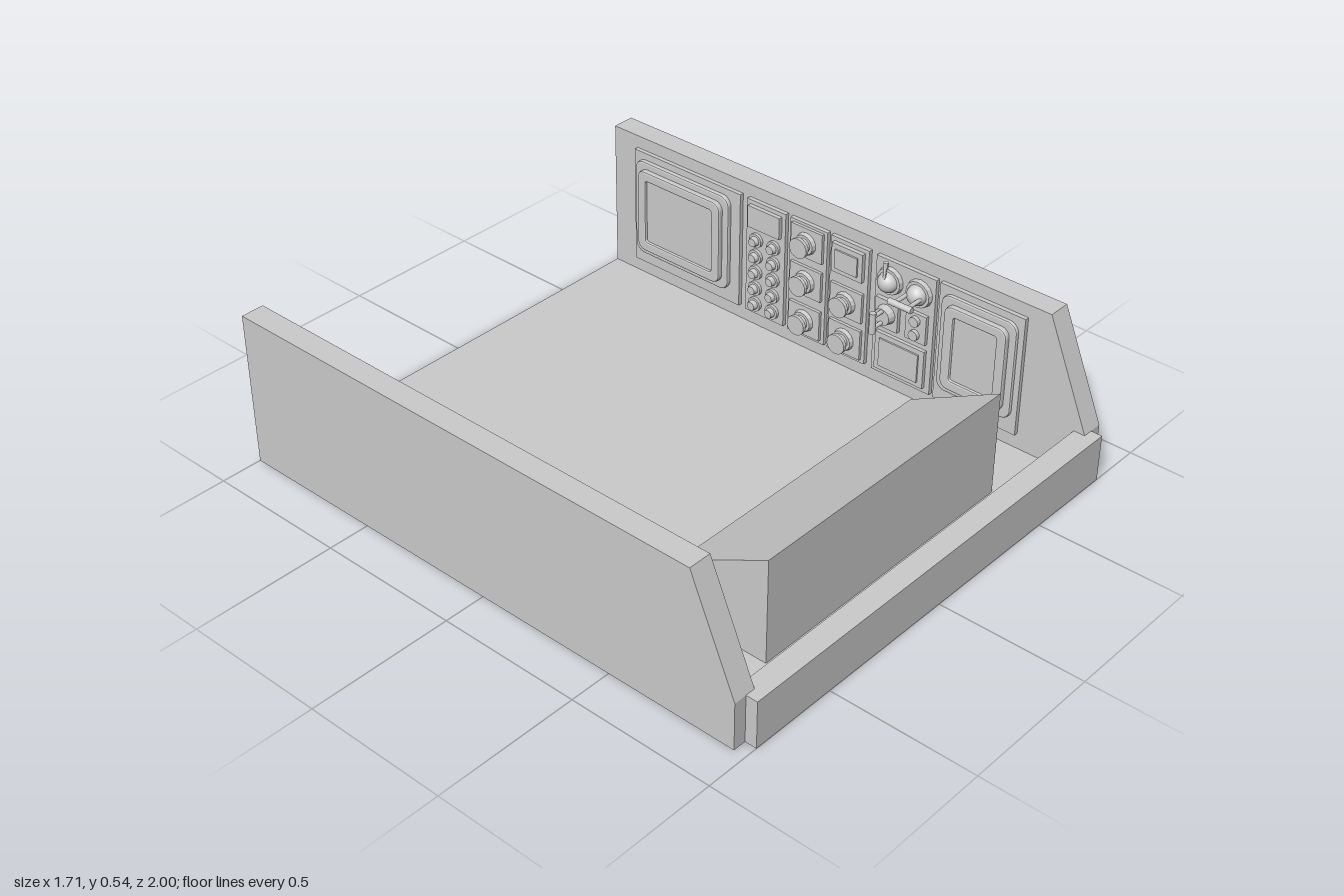
import * as THREE from 'three';

const grey = new THREE.MeshStandardMaterial({ color: 0xcccccc, flatShading: true });
const smooth = new THREE.MeshStandardMaterial({ color: 0xcccccc });

function add(parent, name, geo, x = 0, y = 0, z = 0, mat = grey) {
  const m = new THREE.Mesh(geo, mat);
  m.name = name;
  m.position.set(x, y, z);
  parent.add(m);
  return m;
}

// Box given by its minimum and maximum corners
function block(parent, name, x0, x1, y0, y1, z0, z1) {
  return add(parent, name, new THREE.BoxGeometry(x1 - x0, y1 - y0, z1 - z0),
    (x0 + x1) / 2, (y0 + y1) / 2, (z0 + z1) / 2);
}

// Solid with a side profile of [z, y] points, spanning x0..x1
function profileSolid(parent, name, pts, x0, x1) {
  const s = new THREE.Shape(pts.map(([z, y]) => new THREE.Vector2(-z, y)));
  const g = new THREE.ExtrudeGeometry(s, { depth: x1 - x0, bevelEnabled: false });
  g.rotateY(Math.PI / 2);
  return add(parent, name, g, x0, 0, 0);
}

function roundedRect(C, w, h, r) {
  const s = new C(), a = w / 2, b = h / 2;
  s.absarc(a - r, b - r, r, 0, Math.PI / 2);
  s.absarc(-a + r, b - r, r, Math.PI / 2, Math.PI);
  s.absarc(-a + r, -b + r, r, Math.PI, Math.PI * 1.5);
  s.absarc(a - r, -b + r, r, Math.PI * 1.5, Math.PI * 2);
  s.closePath();
  return s;
}

// Stepped monitor: rounded base, raised rim and recessed glass
function monitor(parent, u0, u1, y0, y1, z0) {
  const g = new THREE.Group();
  g.name = 'monitor';
  g.position.set((u0 + u1) / 2, (y0 + y1) / 2, z0);
  const w = u1 - u0, h = y1 - y0;
  const opts = { bevelEnabled: true, bevelSize: 0.006, bevelThickness: 0.006, bevelSegments: 2, curveSegments: 5 };
  add(g, 'monitorBase', new THREE.ExtrudeGeometry(
    roundedRect(THREE.Shape, w - 0.012, h - 0.012, 0.03), { ...opts, depth: 0.012 }));
  const rim = roundedRect(THREE.Shape, w - 0.062, h - 0.062, 0.025);
  rim.holes.push(roundedRect(THREE.Path, w - 0.11, h - 0.11, 0.015));
  add(g, 'monitorRim', new THREE.ExtrudeGeometry(rim, { ...opts, depth: 0.012 }), 0, 0, 0.018);
  add(g, 'monitorGlass', new THREE.BoxGeometry(w - 0.1, h - 0.1, 0.012), 0, 0, 0.02);
  parent.add(g);
}

// Cylinder pointing out of the wall
function peg(parent, name, u, y, z0, z1, r0, r1 = r0) {
  const g = new THREE.CylinderGeometry(r1, r0, z1 - z0, 14);
  g.rotateX(Math.PI / 2);
  return add(parent, name, g, u, y, (z0 + z1) / 2);
}

// Grip bar carried on two posts
function handle(parent, u, y, z0, z1, len, upright) {
  const g = new THREE.Group();
  g.name = 'handle';
  g.position.set(u, y, 0);
  if (upright) g.rotation.z = Math.PI / 2;
  const bar = new THREE.CylinderGeometry(0.011, 0.011, len, 12);
  bar.rotateZ(Math.PI / 2);
  add(g, 'gripBar', bar, 0, 0, z1 - 0.011);
  for (const s of [-1, 1]) peg(g, 'gripPost', s * len * 0.28, 0, z0, z1 - 0.01, 0.007);
  parent.add(g);
}

// Flanged drum knob on a backing plate
function drumKnob(parent, u, y) {
  block(parent, 'knobPlate', u - 0.065, u + 0.065, y - 0.055, y + 0.055, 0.01, 0.026);
  peg(parent, 'knobCollar', u, y, 0.02, 0.04, 0.042, 0.036);
  peg(parent, 'knobNeck', u, y, 0.035, 0.06, 0.026);
  peg(parent, 'knobCap', u, y, 0.058, 0.07, 0.036);
}

// Wall-mounted group: local x runs along the wall, local z points into the room
function wallGroup(parent, name, side) {
  const g = new THREE.Group();
  g.name = name;
  g.position.x = side * 0.775;
  g.rotation.y = -side * Math.PI / 2;
  parent.add(g);
  return g;
}

export function createModel() {
  const root = new THREE.Group();
  root.name = 'cabinShell';

  // Floor, side walls and front sill
  block(root, 'floor', -0.81, 0.81, 0, 0.005, -1, 0.97);
  const wall = [[-1, 0], [0.96, 0], [0.96, 0.165], [0.8, 0.535], [-1, 0.535]];
  profileSolid(root, 'leftWall', wall, 0.775, 0.855);
  profileSolid(root, 'rightWall', wall, -0.855, -0.775);
  block(root, 'frontSill', -0.81, 0.81, 0, 0.165, 0.92, 1);

  // Sloping console
  profileSolid(root, 'console', [[0.475, 0.003], [0.8, 0.003], [0.8, 0.37], [0.475, 0.2]], -0.535, 0.535);

  // Right wall: two flat panels and one monitor
  const right = wallGroup(root, 'rightWallPanels', -1);
  block(right, 'rearPanel', -0.08, 0.88, 0.06, 0.49, -0.005, 0.016);
  block(right, 'frontPanel', -0.75, -0.125, 0.06, 0.49, -0.005, 0.016);
  monitor(right, 0, 0.41, 0.115, 0.455, 0.018);

  // Left wall: backing panels and monitors
  const left = wallGroup(root, 'leftWallInstruments', 1);
  for (const [u0, u1] of [[-0.895, -0.42], [-0.39, -0.225], [-0.205, -0.05], [-0.035, 0.12], [0.15, 0.385], [0.4, 0.72]])
    block(left, 'backingPanel', u0, u1, 0.06, 0.49, -0.005, 0.015);
  monitor(left, -0.88, -0.46, 0.105, 0.465, 0.012);
  monitor(left, 0.415, 0.7, 0.11, 0.465, 0.009);

  // Switch column
  block(left, 'switchDisplay', -0.375, -0.24, 0.395, 0.475, 0.01, 0.03);
  for (let row = 0; row < 5; row++) {
    for (const u of [-0.345, -0.27]) {
      const y = 0.1 + row * 0.062;
      peg(left, 'buttonBase', u, y, 0.012, 0.026, 0.026);
      peg(left, 'button', u, y, 0.024, 0.042, 0.018, 0.015);
    }
  }

  // Drum knob columns
  for (const y of [0.13, 0.28, 0.425]) drumKnob(left, -0.128, y);
  for (const y of [0.13, 0.27]) drumKnob(left, 0.042, y);
  block(left, 'gaugeFrame', -0.02, 0.105, 0.37, 0.475, 0.01, 0.03);
  block(left, 'gaugeFace', -0.003, 0.088, 0.388, 0.457, 0.025, 0.036);

  // Lever cluster with domes, T-handles and a toggle
  for (const u of [0.21, 0.325]) {
    peg(left, 'leverCollar', u, 0.42, 0.012, 0.03, 0.05, 0.046);
    const dome = new THREE.SphereGeometry(0.036, 16, 8, 0, Math.PI * 2, 0, Math.PI / 2);
    dome.rotateX(Math.PI / 2);
    add(left, 'leverDome', dome, u, 0.42, 0.028, smooth);
  }
  handle(left, 0.325, 0.42, 0.04, 0.127, 0.09, false);
  const toggle = add(left, 'toggle', new THREE.CylinderGeometry(0.006, 0.005, 0.07, 10), 0.21, 0.46, 0.05);
  toggle.rotation.x = -0.12;
  add(left, 'toggleTip', new THREE.CylinderGeometry(0.009, 0.009, 0.02, 10), 0.21, 0.49, 0.046);
  block(left, 'handlePlate', 0.165, 0.255, 0.245, 0.35, 0.01, 0.03);
  peg(left, 'handleCollar', 0.21, 0.3, 0.028, 0.055, 0.036, 0.03);
  handle(left, 0.21, 0.3, 0.04, 0.112, 0.075, true);
  block(left, 'smallPlate', 0.285, 0.365, 0.245, 0.35, 0.01, 0.028);
  for (const y of [0.272, 0.323]) peg(left, 'smallButton', 0.325, y, 0.025, 0.042, 0.018);
  block(left, 'lowerFrame', 0.17, 0.365, 0.08, 0.22, 0.01, 0.028);
  block(left, 'lowerScreen', 0.19, 0.345, 0.098, 0.202, 0.025, 0.034);

  return root;
}
